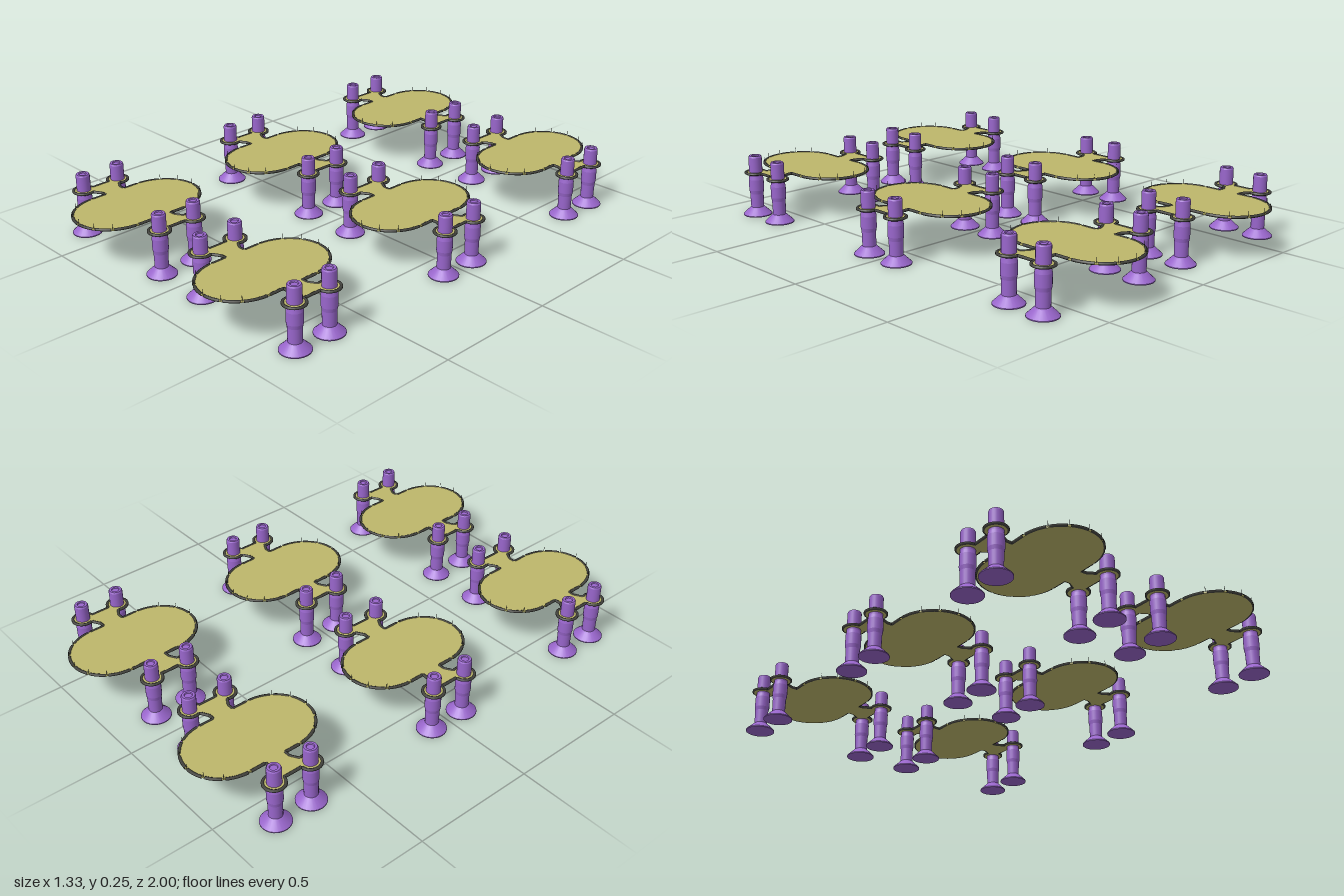
import * as THREE from 'three';

const khaki = new THREE.MeshStandardMaterial({ color: 0xbdb76b, side: THREE.DoubleSide });
const purple = new THREE.MeshStandardMaterial({ color: 0x9966cc });
const dark = new THREE.MeshStandardMaterial({ color: 0x44443f, side: THREE.DoubleSide });

const DECK_Y = 0.178;
const LEG_X = 0.244, LEG_Z = 0.078, PAD_R = 0.04;
const BODY_X = 0.15, BODY_Z = 0.26, SIDE_Z = 0.103, NECK_Z = 0.042;

// Points (x, z) on an ellipse, angles in degrees
function arc(cx, cz, rx, rz, from, to, n) {
  return Array.from({ length: n + 1 }, (_, i) => {
    const a = THREE.MathUtils.degToRad(from + ((to - from) * i) / n);
    return new THREE.Vector2(cx + rx * Math.cos(a), cz + rz * Math.sin(a));
  });
}

// One quarter of the deck outline: rounded end, straight side, neck, leg pad
const endArc = arc(0, SIDE_Z, BODY_X, BODY_Z - SIDE_Z, 90, 0, 16);
const armEdge = [
  new THREE.Vector2(BODY_X, SIDE_Z),
  new THREE.Vector2(BODY_X, NECK_Z),
  new THREE.Vector2(0.175, NECK_Z),
  ...arc(LEG_X, LEG_Z, PAD_R, PAD_R, 205, -90, 20),
  new THREE.Vector2(LEG_X, 0),
];

function deckGeometry() {
  const q = [...endArc, ...armEdge.slice(1)];
  const flip = (sx, sz) => q.map(p => new THREE.Vector2(p.x * sx, p.y * sz));
  const outline = [
    ...q, ...flip(1, -1).reverse().slice(1),
    ...flip(-1, -1).slice(1), ...flip(-1, 1).reverse().slice(1, -1),
  ];
  const geo = new THREE.ExtrudeGeometry(new THREE.Shape(outline), { depth: 0.008, bevelEnabled: false });
  return geo.rotateX(Math.PI / 2).translate(0, 0.181, 0);
}

// Dark edge strip following a list of (x, z) points
function stripGeometry(points, segments) {
  const curve = new THREE.CatmullRomCurve3(
    points.map(p => new THREE.Vector3(p.x, DECK_Y, p.y)), false, 'catmullrom', 0);
  return new THREE.TubeGeometry(curve, segments, 0.006, 6, false);
}

// Leg with flared foot, slightly swollen shaft and chamfered top
function legGeometry() {
  const profile = [
    [0, 0], [0.058, 0], [0.058, 0.004], [0.03, 0.031], [0.026, 0.034], [0.027, 0.09],
    [0.03, 0.105], [0.03, 0.15], [0.027, 0.165], [0.027, 0.243], [0.024, 0.249],
    [0.015, 0.249], [0.013, 0.245], [0, 0.245],
  ].map(([r, y]) => new THREE.Vector2(r, y));
  // Each band is its own lathe so the edges stay crisp
  const group = new THREE.Group();
  for (let i = 0; i < profile.length - 1; i++) {
    const band = new THREE.Mesh(new THREE.LatheGeometry([profile[i], profile[i + 1]], 24), purple);
    band.name = 'legBand';
    group.add(band);
  }
  return group;
}

function createPlatform() {
  const platform = new THREE.Group();
  const add = (geo, mat, name, parent = platform) => {
    const mesh = new THREE.Mesh(geo, mat);
    mesh.name = name;
    parent.add(mesh);
    return mesh;
  };
  add(deckGeometry(), khaki, 'deck');

  const armStrip = stripGeometry(armEdge, 70);
  const postGeo = new THREE.CylinderGeometry(0.001, 0.001, 0.022, 5);
  const dashes = [[88, 64], [60, 38], [34, 4]].map(([a, b]) =>
    stripGeometry(arc(0, SIDE_Z, BODY_X, BODY_Z - SIDE_Z, a, b, 6), 8));
  const posts = [90, 62, 36].map(a => arc(0, SIDE_Z, BODY_X, BODY_Z - SIDE_Z, a, a, 1)[0]);
  const leg = legGeometry();

  // Mirror the edging, posts and legs to the four quarters
  for (const sx of [1, -1]) for (const sz of [1, -1]) {
    const quarter = new THREE.Group();
    quarter.name = 'quarter';
    quarter.scale.set(sx, 1, sz);
    add(armStrip, dark, 'armEdging', quarter);
    dashes.forEach(d => add(d, dark, 'rimSegment', quarter));
    posts.forEach(p => add(postGeo, dark, 'rimPost', quarter).position.set(p.x, 0.189, p.y));
    platform.add(quarter);

    const l = leg.clone();
    l.name = 'leg';
    l.position.set(sx * LEG_X, 0, sz * LEG_Z);
    platform.add(l);
  }
  return platform;
}

export function createModel() {
  const model = new THREE.Group();
  model.name = 'platformArray';
  const platform = createPlatform();
  // Two columns of three platforms
  for (const x of [-0.364, 0.364]) for (const z of [-0.734, 0, 0.734]) {
    const p = platform.clone();
    p.name = 'platform';
    p.position.set(x, 0, z);
    model.add(p);
  }
  return model;
}
